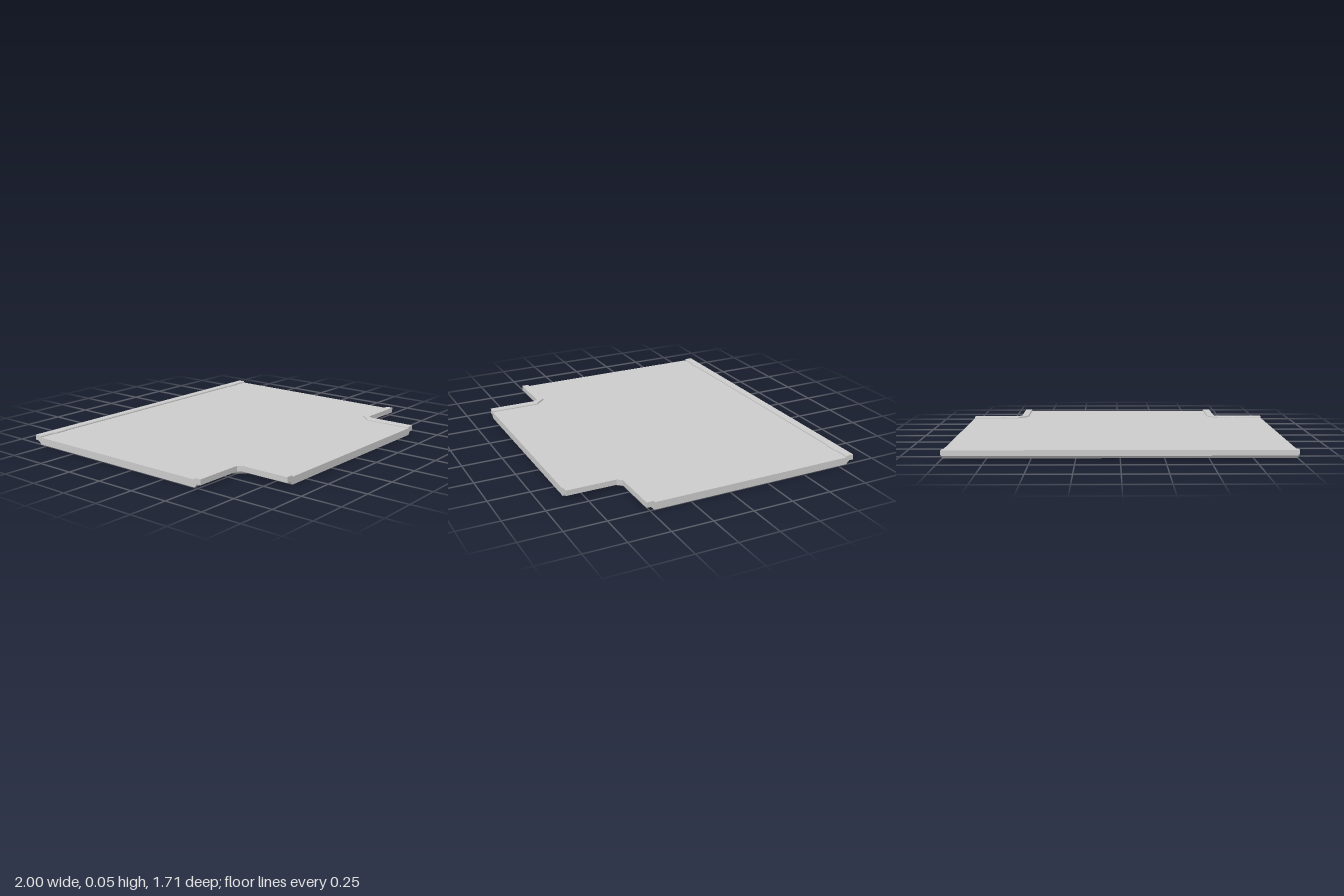
import * as THREE from 'three';

const FLOOR = 0.045;
const material = new THREE.MeshStandardMaterial({ color: 0xcccccc, flatShading: true });

// Curb cross-section: [0 = outer edge .. 1 = inner edge, height]
const PROFILE = [[1, FLOOR], [1, 0.05], [0.94, 0.055], [0, 0.055], [0, 0.022], [0.55, 0.022], [1, 0]];
const FAN = 5; // concave corner of the section, from which the end caps fan out

// Stations: [outerX, outerZ, innerX, innerZ, bulge of the worn inner edge]
const BACK = [-1, -0.9, -0.88, -0.81, -0.79, 0.79, 0.81, 0.88, 0.9, 1]
  .map(x => [x, -0.855, x, -0.807, Math.abs(x) > 0.8 && Math.abs(x) < 0.89 ? 0.006 : 0]);
const CORNER = [
  [1, 0.52, 1, 0.474, 0], [0.9, 0.52, 0.9, 0.474, -0.005], [0.81, 0.52, 0.81, 0.474, -0.005],
  [0.79, 0.52, 0.79, 0.474, 0], [0.695, 0.52, 0.695, 0.474, 0],
  [0.677, 0.55, 0.631, 0.543, 0], [0.677, 0.855, 0.631, 0.855, 0],
];
const mirrorX = list => list.map(([ox, oz, ix, iz, b]) => [-ox, oz, -ix, iz, b]).reverse();

// Sweep the section along the stations, with capped ends
function curb(name, stations) {
  const rings = stations.map(([ox, oz, ix, iz, bulge]) => PROFILE.map(([t, y]) => {
    const worn = t > 0.9 && y > 0 ? bulge : 0;
    return [ox + (ix - ox) * t, y, oz + (iz - oz) * t + worn];
  }));
  const pos = [];
  const tri = (...pts) => pts.forEach(p => pos.push(...p));
  for (let i = 0; i < rings.length - 1; i++) {
    const a = rings[i], b = rings[i + 1];
    for (let j = 0; j < PROFILE.length - 1; j++) {
      tri(a[j], b[j], b[j + 1]);
      tri(a[j], b[j + 1], a[j + 1]);
    }
  }
  const first = rings[0], last = rings[rings.length - 1], n = PROFILE.length;
  for (let k = 1; k < n - 1; k++) {
    const j = (FAN + k) % n, m = (FAN + k + 1) % n;
    tri(first[FAN], first[j], first[m]);
    tri(last[FAN], last[m], last[j]);
  }
  const geo = new THREE.BufferGeometry();
  geo.setAttribute('position', new THREE.Float32BufferAttribute(pos, 3));
  geo.computeVertexNormals();
  const mesh = new THREE.Mesh(geo, material);
  mesh.name = name;
  return mesh;
}

export function createModel() {
  const group = new THREE.Group();
  group.name = 'roadJunctionTile';
  const left = CORNER, right = mirrorX(CORNER);

  // T-shaped slab bounded by the inner edges of the curbs
  const outline = [BACK[0], BACK[BACK.length - 1], ...left, ...right]
    .map(s => new THREE.Vector2(s[2], s[3]));
  const geo = new THREE.ExtrudeGeometry(new THREE.Shape(outline), { depth: FLOOR, bevelEnabled: false });
  geo.rotateX(Math.PI / 2).translate(0, FLOOR, 0);
  const slab = new THREE.Mesh(geo, material);
  slab.name = 'floorSlab';

  group.add(slab, curb('backCurb', BACK), curb('leftCornerCurb', left), curb('rightCornerCurb', right));
  return group;
}
